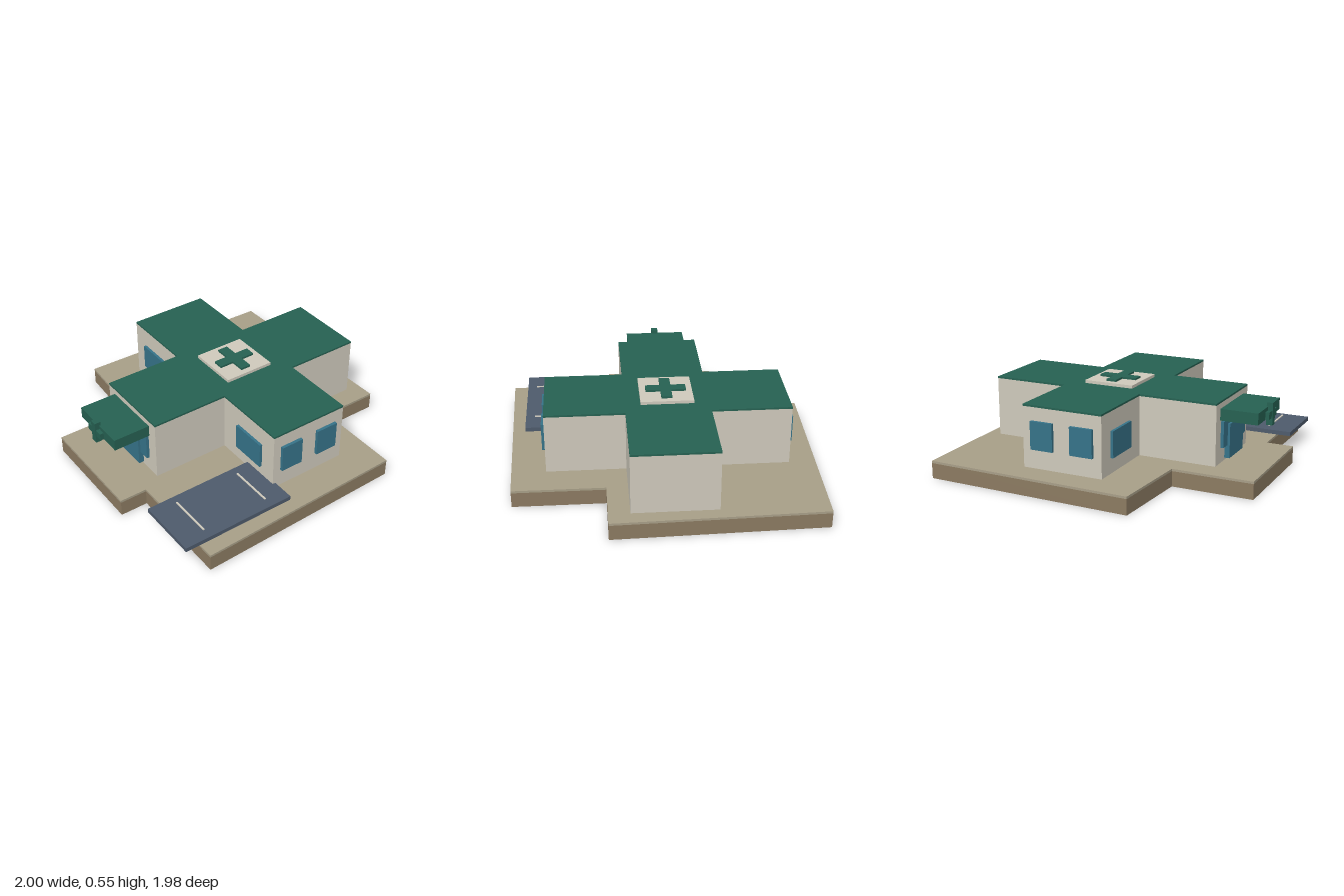
import * as THREE from 'three';

const mat = (color) => new THREE.MeshStandardMaterial({ color, flatShading: true });
const soil = mat(0x8c7b62), paving = mat(0xa89f88), wall = mat(0xcfcabc), green = mat(0x266152);
const glass = mat(0x367389), asphalt = mat(0x4e5b6c);

export function createModel() {
  const root = new THREE.Group();

  const add = (parent, name, geometry, material) => {
    const mesh = new THREE.Mesh(geometry, material);
    mesh.name = name;
    parent.add(mesh);
    return mesh;
  };
  // Box given by its minimum and maximum on each axis
  const box = (parent, name, material, [x0, x1], [y0, y1], [z0, z1]) =>
    add(parent, name, new THREE.BoxGeometry(x1 - x0, y1 - y0, z1 - z0), material)
      .position.set((x0 + x1) / 2, (y0 + y1) / 2, (z0 + z1) / 2);
  // Upright prism over a plan outline of [x, z] points
  const slab = (parent, name, material, plan, y0, y1) => {
    const shape = new THREE.Shape(plan.map(([x, z]) => new THREE.Vector2(x, -z)));
    const geo = new THREE.ExtrudeGeometry(shape, { depth: y1 - y0, bevelEnabled: false });
    geo.rotateX(-Math.PI / 2).translate(0, y0, 0);
    add(parent, name, geo, material);
  };
  // Cross outline from the outer and inner extents of its two bars
  const cross = ([a0, a1], [b0, b1], [c0, c1], [d0, d1]) => [
    [b0, c0], [b1, c0], [b1, d0], [a1, d0], [a1, d1], [b1, d1],
    [b1, c1], [b0, c1], [b0, d1], [a0, d1], [a0, d0], [b0, d0],
  ];

  // Ground plate with a thin paved top
  const plot = [
    [-0.97, -0.96], [0.375, -0.99], [0.375, -0.597], [0.965, -0.595], [1, 0.805],
    [0.305, 0.805], [0.305, 0.985], [-0.45, 0.985], [-0.45, 0.455], [-1, 0.42],
  ];
  const ground = new THREE.Group();
  ground.name = 'ground';
  root.add(ground);
  slab(ground, 'groundBase', soil, plot, 0, 0.1);
  slab(ground, 'groundPaving', paving, plot, 0.1, 0.115);

  // Cross-shaped building and flat roof
  const plan = cross([-0.81, 0.75], [-0.3, 0.24], [-0.89, 0.68], [-0.38, 0.16]);
  slab(root, 'walls', wall, plan, 0.115, 0.505);
  slab(root, 'roof', green, plan, 0.505, 0.517);

  // Roof emblem on a pale pad
  box(root, 'roofPad', wall, [-0.2, 0.14], [0.517, 0.537], [-0.28, 0.06]);
  slab(root, 'roofCross', green,
    cross([-0.16, 0.1], [-0.065, 0.005], [-0.24, 0.02], [-0.145, -0.075]), 0.537, 0.55);

  // Windows on the front of the wings, beside the door and on the wing ends
  const windows = new THREE.Group();
  windows.name = 'windows';
  root.add(windows);
  for (const x of [-0.695, 0.39])
    box(windows, 'wingWindow', glass, [x, x + 0.245], [0.215, 0.385], [0.155, 0.178]);
  for (const x of [-0.22, 0.05])
    box(windows, 'entranceWindow', glass, [x, x + 0.11], [0.215, 0.385], [0.675, 0.7]);
  for (const x of [-0.83, 0.745])
    for (const z of [-0.32, -0.048])
      box(windows, 'endWindow', glass, [x, x + 0.025], [0.24, 0.42], [z, z + 0.153]);

  // Entrance door, canopy and cross sign
  box(root, 'door', glass, [-0.15, 0.085], [0.13, 0.355], [0.675, 0.715]);
  box(root, 'canopy', green, [-0.235, 0.17], [0.395, 0.47], [0.675, 0.925]);
  const sign = new THREE.Group();
  sign.name = 'entranceSign';
  root.add(sign);
  box(sign, 'signUpright', green, [-0.055, -0.01], [0.35, 0.495], [0.915, 0.955]);
  box(sign, 'signCrossbar', green, [-0.105, 0.04], [0.398, 0.445], [0.92, 0.95]);

  // Parking pad with pale bay lines
  box(root, 'parkingPad', asphalt, [0.49, 0.9], [0.12, 0.148], [0.14, 0.905]);
  for (const z of [0.285, 0.737])
    box(root, 'bayLine', wall, [0.55, 0.838], [0.153, 0.158], [z - 0.006, z + 0.006]);

  return root;
}
